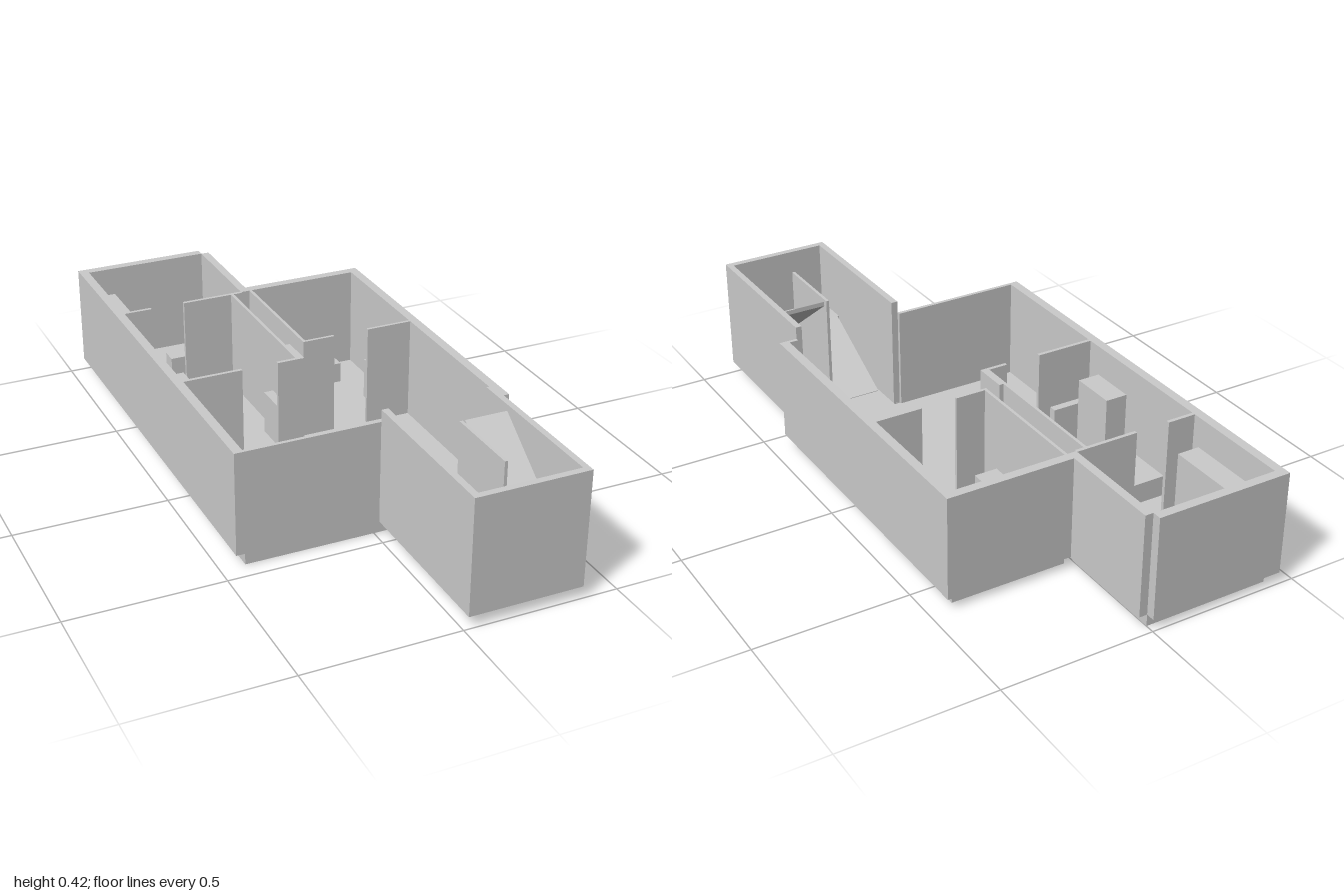
import * as THREE from 'three';

const FLOOR = 0.04, TOP = 0.38;

export function createModel() {
  const model = new THREE.Group();
  model.name = 'apartment';
  const material = new THREE.MeshStandardMaterial({ color: 0xcccccc, flatShading: true });

  const group = (name) => {
    const g = new THREE.Group();
    g.name = name;
    model.add(g);
    return g;
  };
  const add = (parent, name, geometry) => {
    const mesh = new THREE.Mesh(geometry, material);
    mesh.name = name;
    parent.add(mesh);
    return mesh;
  };
  // Box given by its bounds
  const block = (parent, name, x0, x1, z0, z1, y0 = FLOOR, y1 = TOP) => {
    const g = new THREE.BoxGeometry(x1 - x0, y1 - y0, z1 - z0);
    g.translate((x0 + x1) / 2, (y0 + y1) / 2, (z0 + z1) / 2);
    return add(parent, name, g);
  };

  // Floor slab: stepped plan with a narrow light shaft between the bedrooms
  const plan = [
    [-0.42, 0.44], [0.415, 0.44], [0.415, -0.595], [0.03, -0.595], [0.03, -0.15],
    [-0.03, -0.15], [-0.03, -0.595], [0, -0.595], [0, -0.97], [-0.42, -0.97],
  ].map(([x, z]) => new THREE.Vector2(x, -z));
  const slab = new THREE.ExtrudeGeometry(new THREE.Shape(plan), { depth: FLOOR, bevelEnabled: false });
  slab.rotateX(-Math.PI / 2);
  add(model, 'floor', slab);

  // Outer walls
  const outer = group('outerWalls');
  block(outer, 'rightWall', -0.45, -0.42, -1, 0.445);
  block(outer, 'leftWall', 0.415, 0.445, -0.625, 0.445);
  block(outer, 'kitchenBackWall', -0.42, 0, -1, -0.97);
  block(outer, 'kitchenSideWall', 0, 0.027, -0.97, -0.6);
  block(outer, 'bedroomBackWall', 0, 0.415, -0.625, -0.595);
  block(outer, 'frontWallRight', -0.42, 0.015, 0.433, 0.445);
  block(outer, 'frontWallLeft', 0.385, 0.415, 0.433, 0.445);

  // Thin partitions with door openings
  const inner = group('partitions');
  [
    [-0.42, -0.325, -0.6, -0.588], [-0.21, 0, -0.6, -0.588],
    [-0.04, -0.03, -0.588, -0.15], [-0.04, -0.015, -0.15, -0.038],
    [-0.42, -0.225, -0.05, -0.038], [-0.105, -0.04, -0.05, -0.038],
    [0.03, 0.04, -0.595, -0.145],
    [0.04, 0.14, -0.155, -0.145], [0.26, 0.415, -0.155, -0.145],
  ].forEach((b, i) => block(inner, `partition${i + 1}`, ...b));

  // Furniture: bounds in plan, then top height
  const furniture = group('furniture');
  [
    ['kitchenCupboard', -0.41, -0.335, -0.955, -0.64, 0.29],
    ['stoolA', -0.3, -0.255, -0.855, -0.81, 0.12],
    ['stoolB', -0.22, -0.17, -0.765, -0.71, 0.12],
    ['doubleBed', -0.405, -0.165, -0.49, -0.295, 0.11],
    ['wardrobe', -0.41, -0.335, -0.27, -0.115, 0.29],
    ['lowShelf', -0.385, -0.27, -0.078, -0.052, 0.18],
    ['desk', -0.075, -0.043, -0.225, -0.1, 0.185],
    ['singleBed', 0.065, 0.31, -0.58, -0.455, 0.11],
    ['bedsideTable', 0.042, 0.12, -0.305, -0.23, 0.14],
    ['chestOfDrawers', 0.335, 0.4, -0.32, -0.18, 0.18],
  ].forEach(([name, x0, x1, z0, z1, top]) => block(furniture, name, x0, x1, z0, z1, FLOOR, top));

  // Stairwell walls, open below
  const stairs = group('stairwell');
  block(stairs, 'stairWallRight', 0.015, 0.037, 0.445, 1, FLOOR, 0.42);
  block(stairs, 'stairWallLeft', 0.365, 0.385, 0.445, 1, FLOOR, 0.42);
  block(stairs, 'stairWallFront', 0.037, 0.365, 0.978, 1, FLOOR, 0.42);
  block(stairs, 'centreWall', 0.197, 0.207, 0.585, 0.845, FLOOR, 0.41);
  block(stairs, 'entryLanding', 0.037, 0.365, 0.44, 0.585, 0.015, FLOOR);
  block(stairs, 'halfLanding', 0.037, 0.365, 0.845, 0.978, 0.18, 0.2);

  // Sloped flights, drawn in side profile (z, y) and extruded across x
  const flight = (name, x0, x1, z0, y0, z1, y1, t) => {
    const shape = new THREE.Shape([[z0, y0 - t], [z1, y1 - t], [z1, y1], [z0, y0]]
      .map(([z, y]) => new THREE.Vector2(-z, y)).reverse());
    const g = new THREE.ExtrudeGeometry(shape, { depth: x1 - x0, bevelEnabled: false });
    g.rotateY(Math.PI / 2);
    g.translate(x0, 0, 0);
    add(stairs, name, g);
  };
  flight('lowerFlight', 0.042, 0.187, 0.55, 0.042, 0.845, 0.2, 0.01);
  flight('upperFlight', 0.215, 0.355, 0.585, 0.41, 0.88, 0.19, 0.015);

  return model;
}
